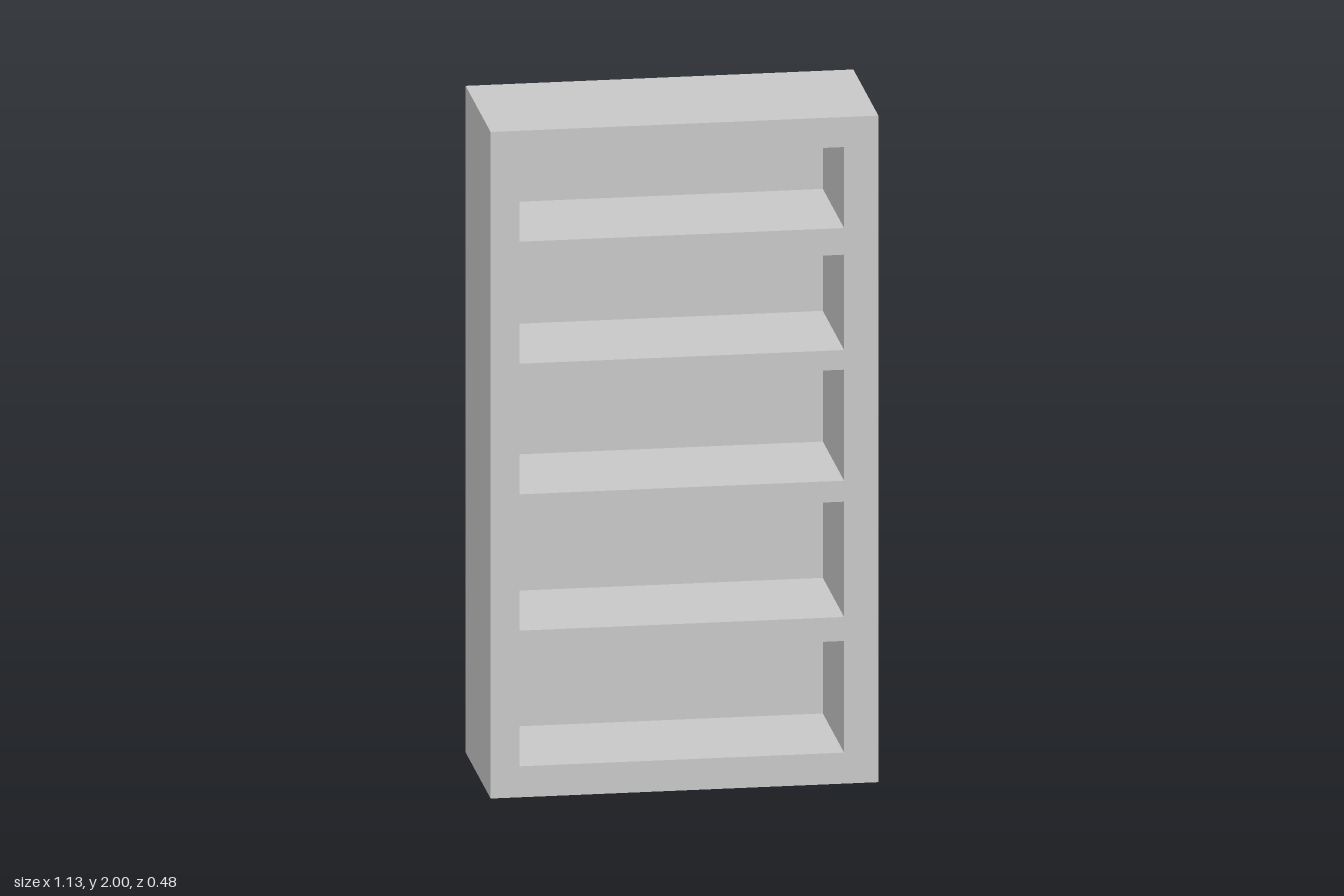
import * as THREE from 'three';

const WIDTH = 1.13, HEIGHT = 2, DEPTH = 0.482, BACK = 0.073;
// Inner side walls and the [bottom, top] of each compartment
const LEFT = -0.481, RIGHT = 0.465;
const COMPARTMENTS = [[0.093, 0.428], [0.5, 0.846], [0.909, 1.242], [1.301, 1.587], [1.667, 1.91]];

function rectangle(target, x0, y0, x1, y1) {
  target.moveTo(x0, y0);
  target.lineTo(x1, y0);
  target.lineTo(x1, y1);
  target.lineTo(x0, y1);
  target.closePath();
  return target;
}

export function createModel() {
  const group = new THREE.Group();
  group.name = 'bookcase';
  const material = new THREE.MeshStandardMaterial({ color: 0xcccccc, flatShading: true });

  // Sides, top, base and shelves as one block with openings cut through
  const outline = rectangle(new THREE.Shape(), -WIDTH / 2, 0, WIDTH / 2, HEIGHT);
  for (const [bottom, top] of COMPARTMENTS) {
    outline.holes.push(rectangle(new THREE.Path(), LEFT, bottom, RIGHT, top));
  }
  const frame = new THREE.Mesh(
    new THREE.ExtrudeGeometry(outline, { depth: DEPTH - BACK, bevelEnabled: false }), material);
  frame.name = 'shelfFrame';
  frame.position.z = -DEPTH / 2 + BACK;
  group.add(frame);

  // Solid back closing the compartments
  const back = new THREE.Mesh(new THREE.BoxGeometry(WIDTH, HEIGHT, BACK), material);
  back.name = 'backPanel';
  back.position.set(0, HEIGHT / 2, (-DEPTH + BACK) / 2);
  group.add(back);

  return group;
}
